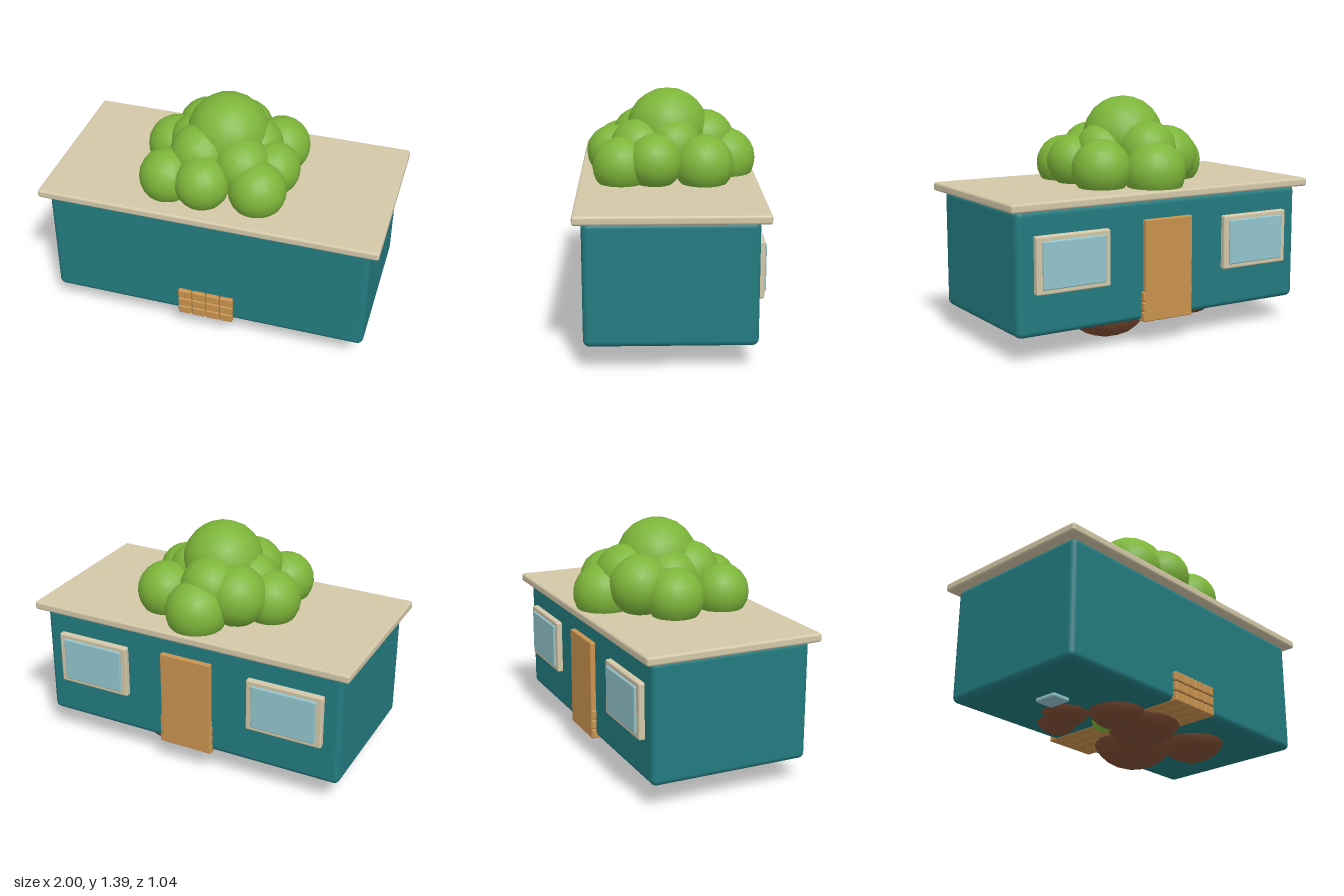
import * as THREE from 'three';
import { RoundedBoxGeometry } from 'three/addons/geometries/RoundedBoxGeometry.js';

const mat = (name, color) => {
  const m = new THREE.MeshStandardMaterial({ color });
  m.name = name;
  return m;
};

export function createModel() {
  const teal = mat('teal wall', 0x237b80);
  const cream = mat('cream trim', 0xd3c7a8);
  const green = mat('leaf green', 0x7db53a);
  const wood = mat('warm wood', 0xc8924e);
  const brown = mat('earth brown', 0x7d4c33);
  const glass = mat('pale glass', 0x92c5cd);

  const model = new THREE.Group();
  model.name = 'treehouse';

  // Rounded box given by its extents on each axis
  const box = (name, material, [x0, x1], [y0, y1], [z0, z1], radius, parent = model) => {
    const mesh = new THREE.Mesh(new RoundedBoxGeometry(x1 - x0, y1 - y0, z1 - z0, 3, radius), material);
    mesh.position.set((x0 + x1) / 2, (y0 + y1) / 2, (z0 + z1) / 2);
    mesh.name = name;
    parent.add(mesh);
  };

  // Clusters of rounded blobs: x, y, z, radius x, y, z
  const ball = new THREE.IcosahedronGeometry(1, 3);
  const cluster = (name, part, material, blobs) => {
    const group = new THREE.Group();
    group.name = name;
    for (const [x, y, z, rx, ry = rx, rz = rx] of blobs) {
      const mesh = new THREE.Mesh(ball, material);
      mesh.position.set(x, y, z);
      mesh.scale.set(rx, ry, rz);
      mesh.name = part;
      group.add(mesh);
    }
    model.add(group);
  };

  // House and roof slab
  box('houseBody', teal, [-0.95, 0.95], [0.145, 0.838], [-0.465, 0.475], 0.035);
  box('roof', cream, [-1, 1], [0.835, 0.885], [-0.517, 0.52], 0.014);

  // Back door
  box('door', wood, [-0.16, 0.16], [0.14, 0.725], [-0.495, -0.44], 0.006);

  // Back windows and the glass blocks set into the floor
  for (const side of [1, -1]) {
    const cx = side * 0.62;
    const win = new THREE.Group();
    win.name = side > 0 ? 'leftWindow' : 'rightWindow';
    box('windowFrame', cream, [cx - 0.23, cx + 0.23], [0.38, 0.7], [-0.498, -0.44], 0.01, win);
    box('windowPane', glass, [cx - 0.195, cx + 0.195], [0.407, 0.673], [-0.51, -0.47], 0.008, win);
    model.add(win);
    box('floorGlass', glass, [cx - 0.06, cx + 0.06], [0.123, 0.18], [-0.07, 0.073], 0.01);
  }

  // Stacked beams running from back to front through the floor
  const beams = new THREE.Group();
  beams.name = 'beams';
  for (let row = 0; row < 3; row++) {
    for (let col = 0; col < 4; col++) {
      const x = -0.165 + col * 0.085, y = 0.138 + row * 0.06;
      box('beam', wood, [x, x + 0.08], [y, y + 0.055], [-0.493, 0.498], 0.008, beams);
    }
  }
  model.add(beams);

  // Tree crown above the roof
  cluster('treeCrown', 'foliage', green, [
    [0, 1.15, 0, 0.24],
    [-0.12, 1.08, 0.15, 0.18],
    [0.13, 1.06, 0.17, 0.17],
    [0.16, 1.08, -0.03, 0.16],
    [-0.03, 1.08, -0.22, 0.175],
    [-0.18, 1.06, 0, 0.17],
    [-0.18, 1.04, -0.19, 0.18],
    [-0.28, 0.98, 0.28, 0.165],
    [-0.06, 1.0, 0.32, 0.16],
    [0.25, 0.98, 0.27, 0.168],
    [0.29, 1.01, 0.08, 0.16],
    [0.27, 0.99, -0.2, 0.172],
    [0, 0.97, -0.34, 0.18],
    [-0.33, 0.99, -0.04, 0.17],
  ]);

  // Roots and earth below the floor
  cluster('roots', 'root', brown, [
    [0.23, 0.2, -0.17, 0.25, 0.2, 0.25],
    [0.45, 0.19, 0.1, 0.2, 0.155, 0.2],
    [0, 0.2, 0.1, 0.24, 0.175, 0.23],
    [-0.34, 0.19, -0.25, 0.13, 0.115, 0.12],
    [-0.42, 0.19, -0.1, 0.15, 0.12, 0.14],
    [-0.23, 0.19, 0.12, 0.18, 0.14, 0.17],
  ]);
  cluster('moss', 'mossTuft', green, [[-0.18, 0.15, -0.03, 0.07]]);

  return model;
}
